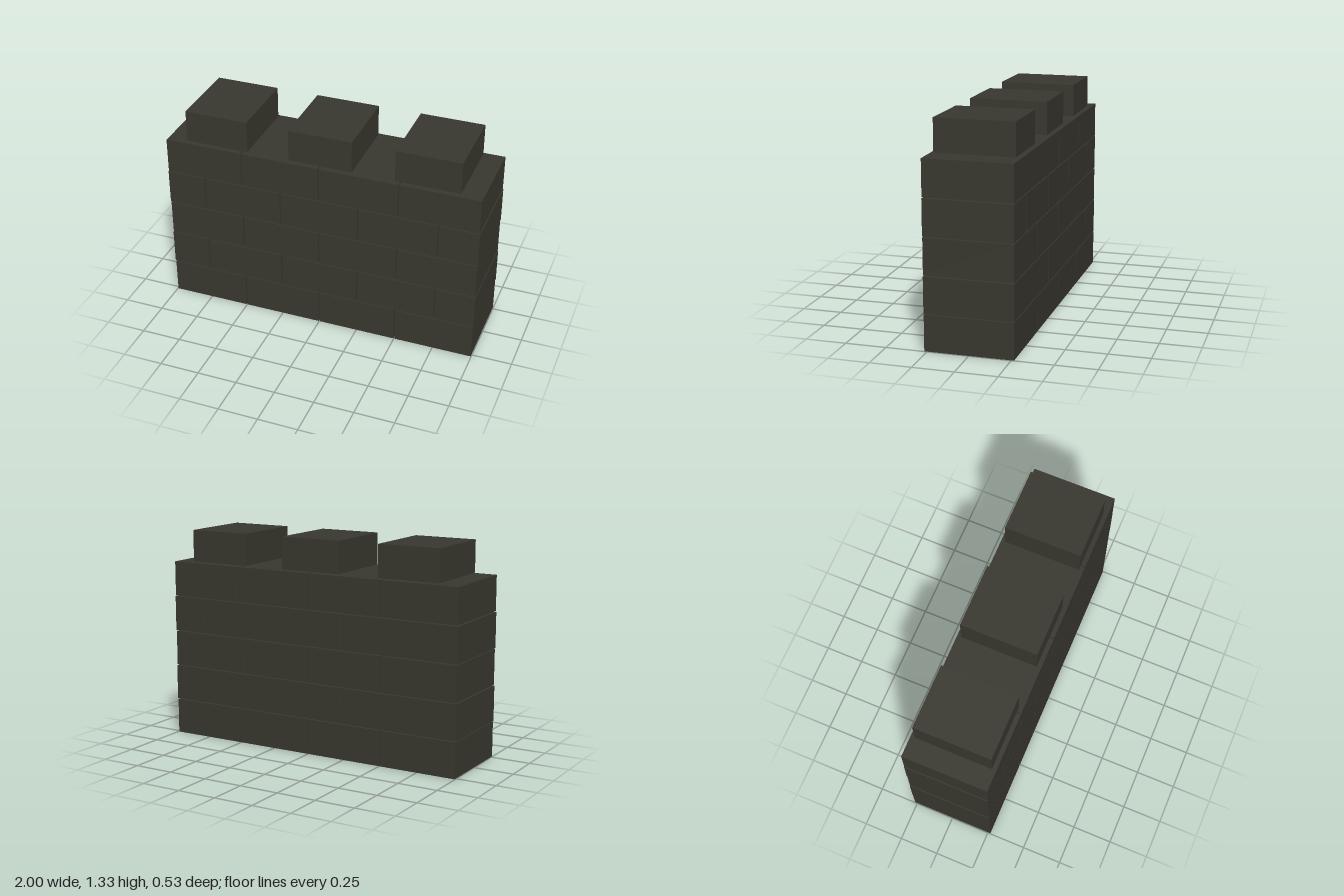
import * as THREE from 'three';

// Crenellated wall of loose stone blocks in running bond, with open joints.
export function createModel() {
  const model = new THREE.Group();
  model.name = 'battlementWall';
  const stone = new THREE.MeshStandardMaterial({ color: 0x39382f });
  stone.name = 'darkStone';

  const pitch = 0.5, gap = 0.0067, brick = pitch - gap;
  const rowPitch = 0.2267, rowHeight = rowPitch - gap, depth = 0.5333;

  function block(name, parent, x, bottom, width, height, thickness) {
    const mesh = new THREE.Mesh(new THREE.BoxGeometry(width, height, thickness), stone);
    mesh.name = name;
    mesh.position.set(x, bottom + height / 2, 0);
    parent.add(mesh);
  }

  // Five courses; every second one is shifted and closed by half blocks
  for (let row = 0; row < 5; row++) {
    const course = new THREE.Group();
    course.name = `course${row + 1}`;
    course.position.y = row * rowPitch;
    model.add(course);
    if (row % 2 === 0) {
      for (let i = 0; i < 4; i++) block('fullBlock', course, (i - 1.5) * pitch, 0, brick, rowHeight, depth);
    } else {
      for (let i = -1; i <= 1; i++) block('fullBlock', course, i * pitch, 0, brick, rowHeight, depth);
      for (const side of [-1, 1]) block('halfBlock', course, side * (1 - brick / 4), 0, brick / 2, rowHeight, depth);
    }
  }

  // Merlons along the top
  for (const x of [-0.6667, 0, 0.6667]) block('merlon', model, x, 5 * rowPitch, 0.4, 0.2, 0.48);

  return model;
}
